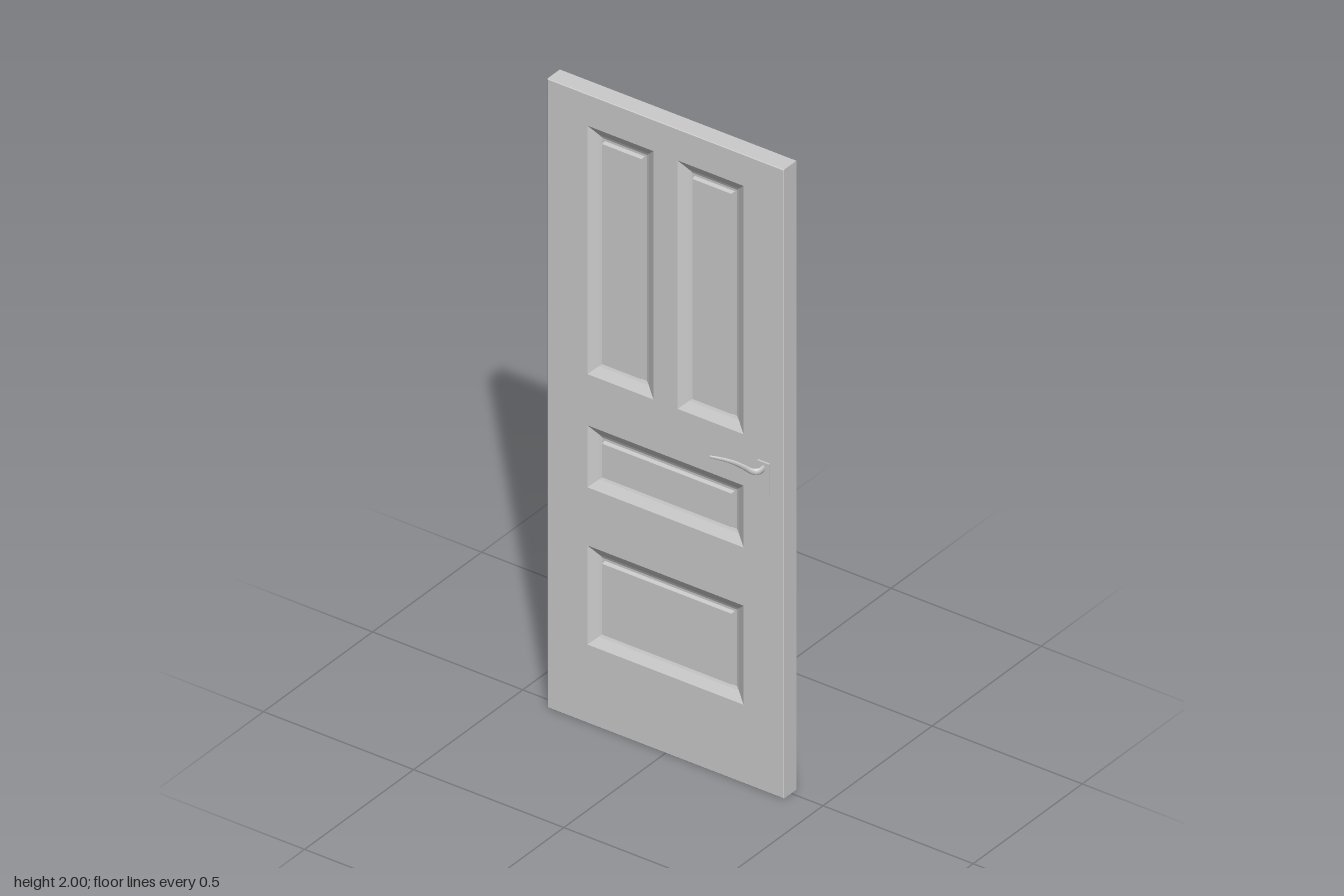
import * as THREE from 'three';

const HALF_W = 0.394, HEIGHT = 2, HALF_T = 0.03, MID_Z = 0.004, EDGE = 0.002;

// Panel openings: x0, x1, y0, y1
const PANELS = [
  [-0.26, -0.04, 1.11, 1.9],
  [0.04, 0.26, 1.11, 1.9],
  [-0.26, 0.26, 0.75, 0.947],
  [-0.26, 0.26, 0.25, 0.565],
];

// Steps of a panel going inwards: inset, height relative to the door face
const STEPS = [[0, 0], [0.027, -0.016], [0.036, -0.02], [0.043, -0.02], [0.045, -0.006]];

const material = new THREE.MeshStandardMaterial({ color: 0xcccccc });
const flat = new THREE.MeshStandardMaterial({ color: 0xcccccc, flatShading: true });

function mesh(name, geometry, mat = flat) {
  const m = new THREE.Mesh(geometry, mat);
  m.name = name;
  return m;
}

function corners([x0, x1, y0, y1]) {
  return [[x0, y0], [x1, y0], [x1, y1], [x0, y1]];
}

function inset([x0, x1, y0, y1], d) {
  return [x0 + d, x1 - d, y0 + d, y1 - d];
}

// Joins rectangles { rect, z } from the outside in; optionally closes the last one
function rectLoft(rings, cap) {
  const pos = [], index = [];
  for (const { rect, z } of rings) for (const [x, y] of corners(rect)) pos.push(x, y, z);
  for (let r = 0; r < rings.length - 1; r++) {
    for (let i = 0; i < 4; i++) {
      const a = r * 4 + i, b = r * 4 + (i + 1) % 4;
      index.push(a, b, b + 4, a, b + 4, a + 4);
    }
  }
  const n = (rings.length - 1) * 4;
  if (cap) index.push(n, n + 1, n + 2, n, n + 2, n + 3);
  const g = new THREE.BufferGeometry();
  g.setAttribute('position', new THREE.Float32BufferAttribute(pos, 3));
  g.setIndex(index);
  const out = g.toNonIndexed();
  out.computeVertexNormals();
  return out;
}

// One side of the door: pierced face plus recessed, raised panels
function doorFace(name) {
  const side = new THREE.Group();
  side.name = name;
  const toPoints = (r) => corners(r).map(([x, y]) => new THREE.Vector2(x, y));
  const shape = new THREE.Shape(toPoints(inset([-HALF_W, HALF_W, 0, HEIGHT], EDGE)));
  for (const p of PANELS) shape.holes.push(new THREE.Path(toPoints(p).reverse()));
  const face = new THREE.ShapeGeometry(shape);
  face.translate(0, 0, HALF_T);
  side.add(mesh('face', face));
  for (const p of PANELS) {
    const rings = STEPS.map(([d, z]) => ({ rect: inset(p, d), z: HALF_T + z }));
    side.add(mesh('panel', rectLoft(rings, true)));
  }
  return side;
}

// Curved lever: an oval tube that tapers towards its tip
function leverGeometry(s) {
  const path = new THREE.CatmullRomCurve3([
    [0.329, 0.034], [0.33, 0.052], [0.326, 0.064], [0.312, 0.069],
    [0.285, 0.065], [0.25, 0.062], [0.215, 0.066], [0.175, 0.0765],
  ].map(([x, z]) => new THREE.Vector3(x, 1.03, s * z)));
  const segs = 48, sides = 14;
  const g = new THREE.TubeGeometry(path, segs, 0.006, sides, false);
  const p = g.attributes.position, v = new THREE.Vector3();
  for (let i = 0; i <= segs; i++) {
    const t = i / segs, c = path.getPointAt(t);
    const end = i === segs ? 0 : 1;
    const thick = end * (1 - 0.6 * t), tall = end * (1.9 - 1.25 * t);
    for (let j = 0; j <= sides; j++) {
      const k = i * (sides + 1) + j;
      v.fromBufferAttribute(p, k).sub(c);
      p.setXYZ(k, c.x + v.x * thick, c.y + v.y * tall, c.z + v.z * thick);
    }
  }
  g.computeVertexNormals();
  return g;
}

export function createModel() {
  const model = new THREE.Group();
  model.name = 'door';

  // Door leaf with slightly eased edges
  const leaf = new THREE.Group();
  leaf.name = 'leaf';
  leaf.position.z = MID_Z;
  const outer = [-HALF_W, HALF_W, 0, HEIGHT];
  leaf.add(mesh('edge', rectLoft([
    { rect: inset(outer, EDGE), z: -HALF_T },
    { rect: outer, z: -HALF_T + EDGE },
    { rect: outer, z: HALF_T - EDGE },
    { rect: inset(outer, EDGE), z: HALF_T },
  ], false)));
  leaf.add(doorFace('frontSide'));
  const back = doorFace('backSide');
  back.rotation.y = Math.PI;
  leaf.add(back);
  model.add(leaf);

  // Handle on each side: back plate and lever
  for (const s of [1, -1]) {
    const handle = new THREE.Group();
    handle.name = s > 0 ? 'frontHandle' : 'backHandle';
    const plate = mesh('plate', new THREE.BoxGeometry(0.04, 0.103, 0.008));
    plate.position.set(0.329, 0.998, MID_Z + s * (HALF_T + 0.002));
    handle.add(plate, mesh('lever', leverGeometry(s), material));
    model.add(handle);
  }
  return model;
}
